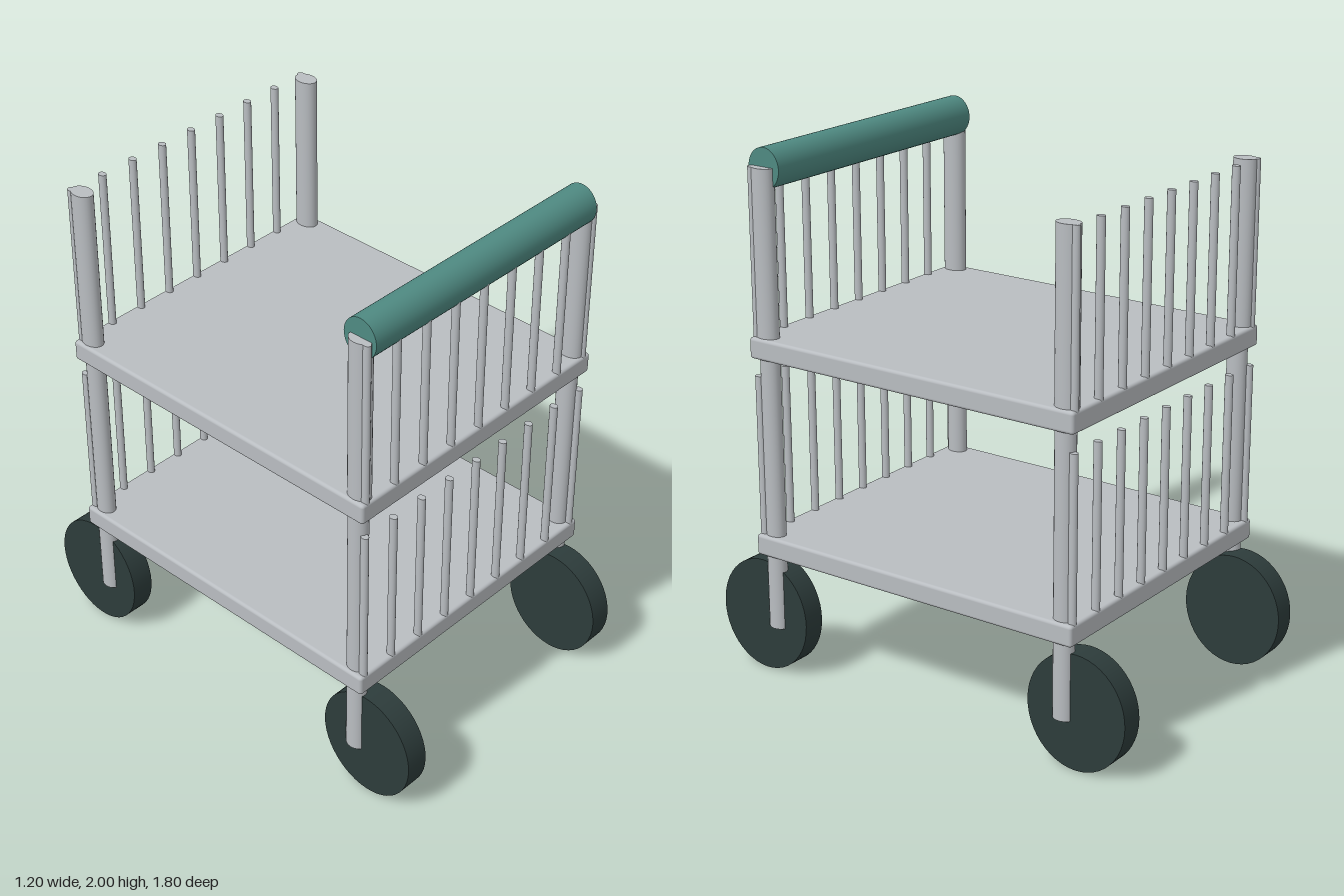
import * as THREE from 'three';
import { RoundedBoxGeometry } from 'three/addons/geometries/RoundedBoxGeometry.js';

const material = (name, color) => {
  const m = new THREE.MeshStandardMaterial({ color });
  m.name = name;
  return m;
};

export function createModel() {
  const metal = material('grey metal', 0xb9bdc1);
  const grip = material('teal grip', 0x4f8a82);
  const rubber = material('dark rubber', 0x2d3c3b);

  const cart = new THREE.Group();
  cart.name = 'trolley';

  const add = (name, geometry, mat, x, y, z) => {
    const mesh = new THREE.Mesh(geometry, mat);
    mesh.name = name;
    mesh.position.set(x, y, z);
    cart.add(mesh);
  };

  // Upright rod with an oval section, spanning y0 to y1
  const rod = (name, rx, rz, y0, y1, x, z, sides = 24) => {
    const g = new THREE.CylinderGeometry(1, 1, y1 - y0, sides).scale(rx, 1, rz);
    add(name, g, metal, x, (y0 + y1) / 2, z);
  };

  // Two flat shelves with softened edges
  add('lowerShelf', new RoundedBoxGeometry(1.2, 0.08, 1.4, 3, 0.012), metal, 0, 0.51, 0);
  add('upperShelf', new RoundedBoxGeometry(1.2, 0.08, 1.4, 3, 0.012), metal, 0, 1.27, 0);

  for (const end of [1, -1]) {
    // Corner legs, upper posts and wheels
    for (const side of [1, -1]) {
      rod('leg', 0.032, 0.04, 0.18, 1.27, side * 0.555, end * 0.641);
      rod('upperPost', 0.034, 0.046, 1.27, 1.93, side * 0.556, end * 0.646);
      const wheel = new THREE.CylinderGeometry(1, 1, 0.09, 48)
        .rotateZ(Math.PI / 2).scale(1, 0.218, 0.2);
      add('wheel', wheel, rubber, side * 0.523, 0.218, end * 0.7);
    }
    // Rows of thin spindles above each shelf
    for (let i = -4; i <= 4; i++) {
      const x = i * 0.1425;
      rod('lowerSpindle', 0.013, 0.016, 0.52, 1.16, x, end * 0.684, 16);
      rod('upperSpindle', 0.013, 0.016, 1.28, 1.93, x, end * 0.684, 16);
    }
  }

  // Push handle across the front
  const handle = new THREE.CylinderGeometry(1, 1, 1.11, 40)
    .rotateZ(Math.PI / 2).scale(1, 0.075, 0.069);
  add('handle', handle, grip, 0, 1.925, 0.641);

  return cart;
}
